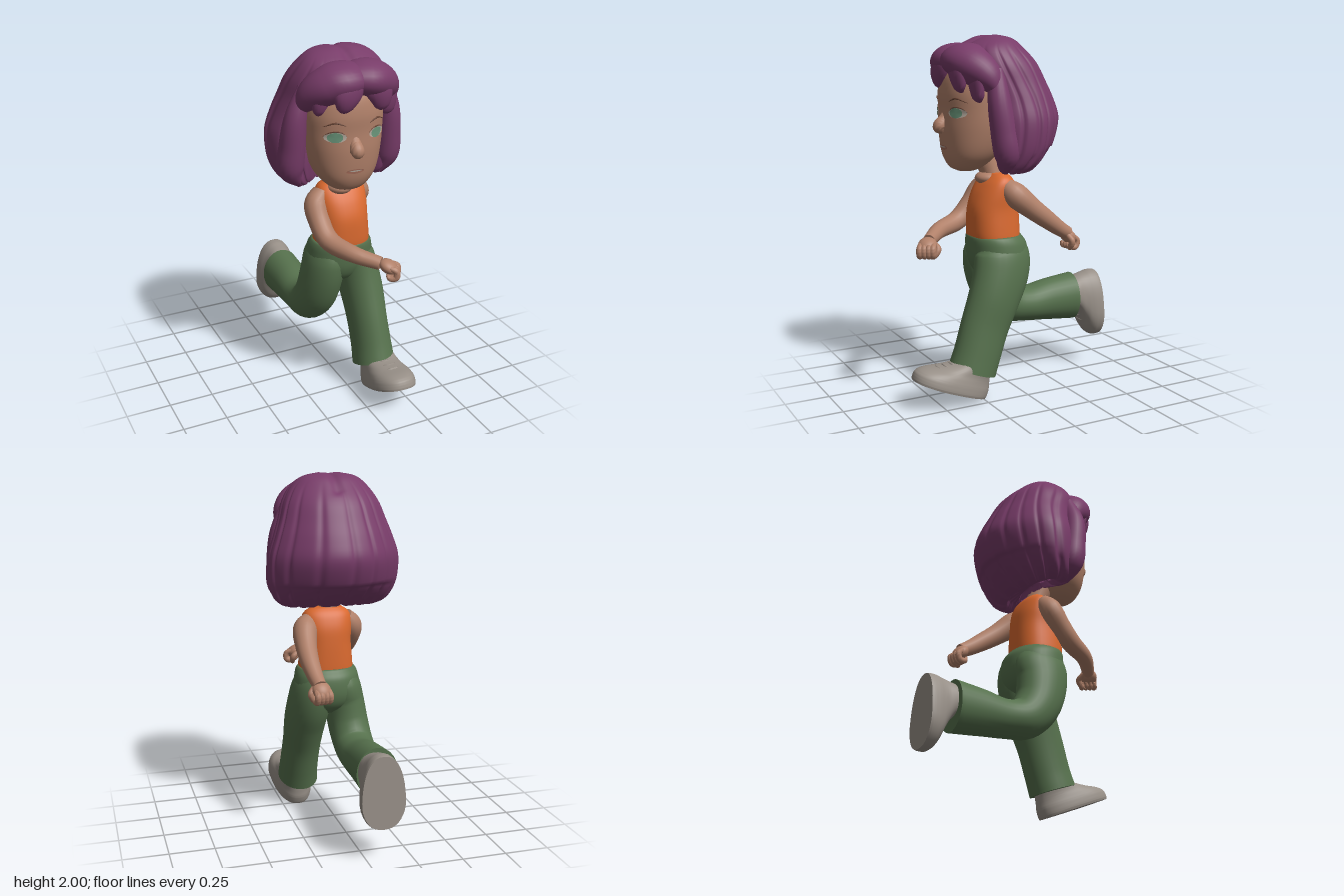
import * as THREE from 'three';
import { toCreasedNormals } from 'three/addons/utils/BufferGeometryUtils.js';

const V = (x, y, z) => new THREE.Vector3(x, y, z);
const mat = (name, color) => {
  const m = new THREE.MeshStandardMaterial({ color });
  m.name = name;
  return m;
};

// Closed skin over a list of vertex rings, with a fan at each end
function skinRings(rings) {
  const n = rings[0].length, pos = [], idx = [];
  rings.forEach(r => r.forEach(p => pos.push(p.x, p.y, p.z)));
  for (let i = 0; i < rings.length - 1; i++) for (let j = 0; j < n; j++) {
    const a = i * n + j, b = i * n + (j + 1) % n;
    idx.push(a, a + n, b, b, a + n, b + n);
  }
  [0, rings.length - 1].forEach(i => {
    const c = V(0, 0, 0), ci = pos.length / 3;
    rings[i].forEach(p => c.addScaledVector(p, 1 / n));
    pos.push(c.x, c.y, c.z);
    for (let j = 0; j < n; j++) {
      const a = i * n + j, b = i * n + (j + 1) % n;
      if (i === 0) idx.push(ci, a, b); else idx.push(ci, b, a);
    }
  });
  const g = new THREE.BufferGeometry();
  g.setAttribute('position', new THREE.Float32BufferAttribute(pos, 3));
  g.setIndex(idx);
  g.computeVertexNormals();
  return g;
}

// Smoothly resample rows of [y, half width, front z, back z], listed upward
function resample(rows, steps) {
  const a = new THREE.CatmullRomCurve3(rows.map(r => V(r[0], r[1], r[2])), false, 'catmullrom');
  const b = new THREE.CatmullRomCurve3(rows.map(r => V(r[3], 0, 0)), false, 'catmullrom');
  return Array.from({ length: steps + 1 }, (_, i) => {
    const p = a.getPoint(i / steps);
    return [p.x, Math.max(p.y, 0.002), p.z, b.getPoint(i / steps).x];
  });
}

// Horizontal superellipse sections stacked in y; rule may move each vertex
function loft(rows, cx, { steps = 32, sides = 40, power = 2, rule } = {}) {
  return skinRings(resample(rows, steps).map(([y, hw, zf, zb]) =>
    Array.from({ length: sides }, (_, j) => {
      const t = j / sides * Math.PI * 2, c = Math.cos(t), s = Math.sin(t), e = 2 / power;
      const p = V(cx + hw * Math.sign(c) * Math.abs(c) ** e, y,
        (zf + zb) / 2 + (zf - zb) / 2 * Math.sign(s) * Math.abs(s) ** e);
      if (rule) rule(p, t);
      return p;
    })));
}

// Tapered sweep; radii are numbers or [side, depth] pairs, one per point
function sweep(points, radii, { steps = 24, sides = 20, ref = V(1, 0, 0) } = {}) {
  const curve = new THREE.CatmullRomCurve3(points.map(p => V(...p)));
  const rad = new THREE.CatmullRomCurve3(radii.map(r => Array.isArray(r) ? V(r[0], r[1], 0) : V(r, r, 0)), false, 'catmullrom');
  const rings = [];
  for (let i = 0; i <= steps; i++) {
    const c = curve.getPoint(i / steps), d = curve.getTangent(i / steps), r = rad.getPoint(i / steps);
    const s = ref.clone().addScaledVector(d, -ref.dot(d)).normalize(), b = s.clone().cross(d);
    rings.push(Array.from({ length: sides }, (_, j) => {
      const t = j / sides * Math.PI * 2;
      return c.clone().addScaledVector(s, r.x * Math.cos(t)).addScaledVector(b, r.y * Math.sin(t));
    }));
  }
  return toCreasedNormals(skinRings(rings), 1);
}

export function createModel() {
  const model = new THREE.Group();
  const hair = mat('plum hair', 0x783c69), skin = mat('skin', 0xb08069), shirt = mat('orange shirt', 0xd9692f),
    pants = mat('green trousers', 0x56714d), shoe = mat('grey shoe', 0x989088), white = mat('eye white', 0xb5aa9e),
    iris = mat('green iris', 0x6a957a), dark = mat('brown brow', 0x6e4838), lip = mat('lip', 0xa06a58);
  const add = (name, geo, m, parent = model) => {
    const o = new THREE.Mesh(geo, m);
    o.name = name;
    parent.add(o);
    return o;
  };
  const ball = (name, m, p, r, parent) => {
    const o = add(name, new THREE.SphereGeometry(1, 32, 20), m, parent);
    o.position.set(...p);
    o.scale.set(...r);
  };

  // Head
  const headRows = [[1.265, .045, .295, .2], [1.285, .095, .335, .16], [1.335, .148, .364, .1], [1.4, .182, .378, .05], [1.5, .207, .386, 0],
    [1.6, .216, .383, 0], [1.7, .216, .385, 0], [1.8, .19, .36, 0], [1.88, .12, .28, .05]];
  const HX = -.02, fine = resample(headRows, 40);
  add('head', loft(headRows, HX, { steps: 40, sides: 64, power: 2.2 }), skin);
  const faceZ = (x, y) => {
    const i = Math.max(0, fine.findIndex(r => r[0] > y) - 1), a = fine[i], b = fine[i + 1];
    const [, hw, zf, zb] = a.map((v, k) => THREE.MathUtils.lerp(v, b[k], (y - a[0]) / (b[0] - a[0])));
    return (zf + zb) / 2 + (zf - zb) / 2 * Math.max(0, 1 - Math.abs((x - HX) / hw) ** 2.2) ** (1 / 2.2);
  };
  const decal = (name, m, cx, cy, rx, ry, lift) => {
    const g = new THREE.CircleGeometry(1, 28), p = g.attributes.position;
    for (let i = 0; i < p.count; i++) {
      const x = cx + p.getX(i) * rx, y = cy + p.getY(i) * ry;
      p.setXYZ(i, x, y, faceZ(x, y) + lift);
    }
    g.computeVertexNormals();
    add(name, g, m);
  };
  const faceLine = (name, m, pts, r) => add(name, sweep(pts.map(([x, y]) => [x, y, faceZ(x, y) + .002]),
    pts.map((_, i) => i === 0 || i === pts.length - 1 ? r * .3 : r), { steps: 12, sides: 8, ref: V(0, 1, 0) }), m);
  for (const [side, ex, d] of [['right', -.135, -1], ['left', .1, 1]]) {
    decal(side + 'EyeWhite', white, ex, 1.59, .053, .027, .004);
    decal(side + 'Iris', iris, ex - .003, 1.59, .037, .027, .006);
    faceLine(side + 'Lash', dark, [[ex - .054, 1.594], [ex - .025, 1.617], [ex + .025, 1.617], [ex + .054, 1.594]], .003);
    faceLine(side + 'Brow', dark, [[ex - d * .05, 1.65], [ex, 1.667], [ex + d * .055, 1.645]], .005);
  }
  add('nose', sweep([[-.03, 1.59, .352], [-.03, 1.55, .37], [-.03, 1.508, .4], [-.03, 1.48, .382]], [.024, .032, .037, .014]), skin);
  decal('lips', lip, -.03, 1.397, .05, .013, .004);
  decal('teeth', white, -.03, 1.401, .036, .004, .006);

  // Hair: grooved bob, hollowed behind the chin
  const hairRows = [[1.31, .2, .17, -.02], [1.265, .25, .2, -.03], [1.295, .315, .235, -.11], [1.37, .357, .25, -.2], [1.46, .372, .258, -.25],
    [1.56, .368, .26, -.272], [1.66, .336, .255, -.238], [1.75, .303, .27, -.192], [1.85, .268, .3, -.137], [1.93, .215, .28, -.06],
    [1.98, .15, .2, 0], [2, .06, .15, .06]];
  add('hairBob', loft(hairRows, 0, {
    steps: 48, sides: 200, power: 2.25, rule: (p, t) => {
      const groove = Math.abs(Math.cos(8 * (t + .1 * Math.sin(3 * t)))) ** 14;
      const f = 1 - .03 * groove * THREE.MathUtils.smoothstep(2 - p.y, .02, .15);
      p.x *= f;
      p.z = .05 + (p.z - .05) * f;
      if (p.y < 1.36) p.y += .012 * groove;
      if (p.z < 0 && p.y < 1.4) p.y -= p.z * .12;
      if (p.z < 0) p.z *= 1 - .4 * (p.x / .37) ** 2;
      if (p.z > .05 && p.y < 1.68) p.z -= (p.z - .05) * Math.exp(-((p.x / .19) ** 4));
      if (p.y > 1.9) p.y -= .015 * Math.exp(-((p.x / .03) ** 2));
    }
  }), hair);

  // Fringe: two swept masses meeting at the parting, with overlapping tips
  for (const s of [-1, 1]) {
    add('fringeMass', sweep([[s * .01, 1.865, .22], [s * .05, 1.865, .27], [s * .12, 1.84, .262], [s * .2, 1.78, .215], [s * .245, 1.7, .17]],
      [[.075, .12], [.095, .145], [.105, .135], [.085, .1], [.03, .05]], { ref: V(0, 1, 0), sides: 32 }), hair);
  }
  const fringe = [[-.185, 1.69, .3], [-.09, 1.715, .378], [.13, 1.7, .358], [.2, 1.65, .285]];
  for (const [x, y, z] of fringe) {
    const s = Math.sign(x);
    add('fringeLock', sweep([[s * .03 + x * .1, 1.905, .3], [x * .6, 1.87, z - .02], [x * .88, 1.8, z - .002], [x, y + .025, z - .008], [x, y, z - .02]],
      [[.03, .03], [.075, .042], [.075, .04], [.045, .028], [.008, .008]]), hair);
  }
  for (const [name, x] of [['rightSideLock', -.292], ['leftSideLock', .274]]) {
    const s = Math.sign(x);
    add(name, sweep([[s * .22, 1.82, .18], [x * .95, 1.66, .185], [x, 1.5, .165], [x, 1.37, .145], [s * .235, 1.275, .14]],
      [.04, .062, .072, .07, .02]), hair);
  }

  // Neck and torso
  add('neck', sweep([[.01, 1.17, .09], [0, 1.25, .105], [-.015, 1.36, .15]], [.07, .06, .065]), skin);
  ball('collarSkin', skin, [.003, 1.218, .115], [.075, .042, .083]);
  add('tankTop', loft([[.87, .145, .23, -.03], [.89, .155, .243, -.036], [.95, .152, .247, -.036], [1.05, .144, .242, -.032],
    [1.13, .146, .215, -.024], [1.19, .142, .18, -.005], [1.225, .125, .15, .015], [1.25, .09, .125, .04]], .022, { power: 2.4 }), shirt);

  // Arms
  add('rightArm', sweep([[-.085, 1.19, .09], [-.13, 1.13, .11], [-.137, 1.045, .17], [-.122, .968, .255], [-.05, .935, .4], [.06, .905, .51]],
    [.05, .066, .06, .056, .046, .036]), skin);
  add('leftArm', sweep([[.12, 1.18, .075], [.157, 1.135, .035], [.177, 1.055, -.06], [.18, .985, -.155], [.172, .922, -.245], [.165, .89, -.3]],
    [.05, .07, .06, .052, .043, .038]), skin);
  const hand = (name, p, dir, side) => {
    const g = new THREE.Group();
    g.name = name;
    ball('palm', skin, [0, 0, .02], [.052, .036, .055], g);
    for (let i = 0; i < 4; i++) {
      const x = -.036 + i * .024;
      add('finger', sweep([[x, .01, .025], [x, .01, .065], [x, -.022, .08], [x, -.042, .055], [x, -.035, .03]],
        [.014, .018, .018, .016, .006], { sides: 10 }), skin, g);
    }
    add('thumb', sweep([[side * .03, -.01, -.01], [side * .056, -.025, .025], [side * .035, -.05, .055], [side * .015, -.055, .065]],
      [.016, .018, .015, .004], { sides: 10 }), skin, g);
    g.position.set(...p);
    g.lookAt(p[0] + dir[0], p[1] + dir[1], p[2] + dir[2]);
    model.add(g);
  };
  hand('rightHand', [.08, .9, .525], [.65, -.4, .4], 1);
  hand('leftHand', [.16, .885, -.295], [-.08, -.6, -.55], -1);

  // Trousers
  add('hips', loft([[.64, .06, .13, .0], [.69, .15, .205, -.06], [.76, .19, .24, -.085], [.85, .184, .25, -.078],
    [.895, .168, .248, -.05], [.905, .15, .235, -.04]], .022, { power: 2.2 }), pants);
  add('leftLeg', sweep([[.095, .87, .085], [.105, .79, .085], [.12, .69, .105], [.135, .56, .155], [.14, .41, .215], [.145, .26, .265], [.145, .165, .298]],
    [[.085, .13], [.113, .162], [.12, .165], [.118, .152], [.11, .142], [.112, .138], [.118, .14]], { steps: 36, sides: 28 }), pants);
  add('rightLeg', sweep([[-.05, .87, .085], [-.066, .79, .082], [-.083, .69, .078], [-.098, .55, .035], [-.105, .455, -.05], [-.1, .43, -.17], [-.1, .435, -.33], [-.1, .437, -.49]],
    [[.085, .13], [.108, .158], [.114, .15], [.117, .132], [.115, .115], [.112, .105], [.112, .126], [.117, .143]], { steps: 42, sides: 28 }), pants);

  // Shoes: heel at the origin, toe along +z
  const shoeGeo = toCreasedNormals(loft([[0, .117, .452, 0], [.015, .12, .455, -.003], [.05, .116, .45, -.003], [.08, .108, .41, .005],
    [.11, .1, .33, .013], [.15, .098, .25, .025], [.21, .095, .2, .04]], 0,
  { power: 2.4, rule: p => { p.x *= .86 + .22 * THREE.MathUtils.clamp(p.z / .32, 0, 1); } }), .6);
  const addShoe = (name, p, pitch, length) => {
    const g = new THREE.Group();
    g.name = name;
    add('shoeBody', shoeGeo, shoe, g);
    for (let i = 0; i < 3; i++) {
      const y = .1 + i * .017, z = .342 - i * .038;
      add('lace', sweep([[-.06, y - .012, z - .05], [-.03, y, z - .006], [.03, y, z - .006], [.06, y - .012, z - .05]],
        [.006, .008, .008, .006], { sides: 8, ref: V(0, 1, 0) }), shoe, g);
    }
    g.position.set(...p);
    g.rotation.x = pitch;
    g.scale.z = length;
    model.add(g);
  };
  addShoe('leftShoe', [.157, .002, .235], -.38, 1);
  addShoe('rightShoe', [-.085, .585, -.643], Math.PI / 2 + .035, .89);

  return model;
}
